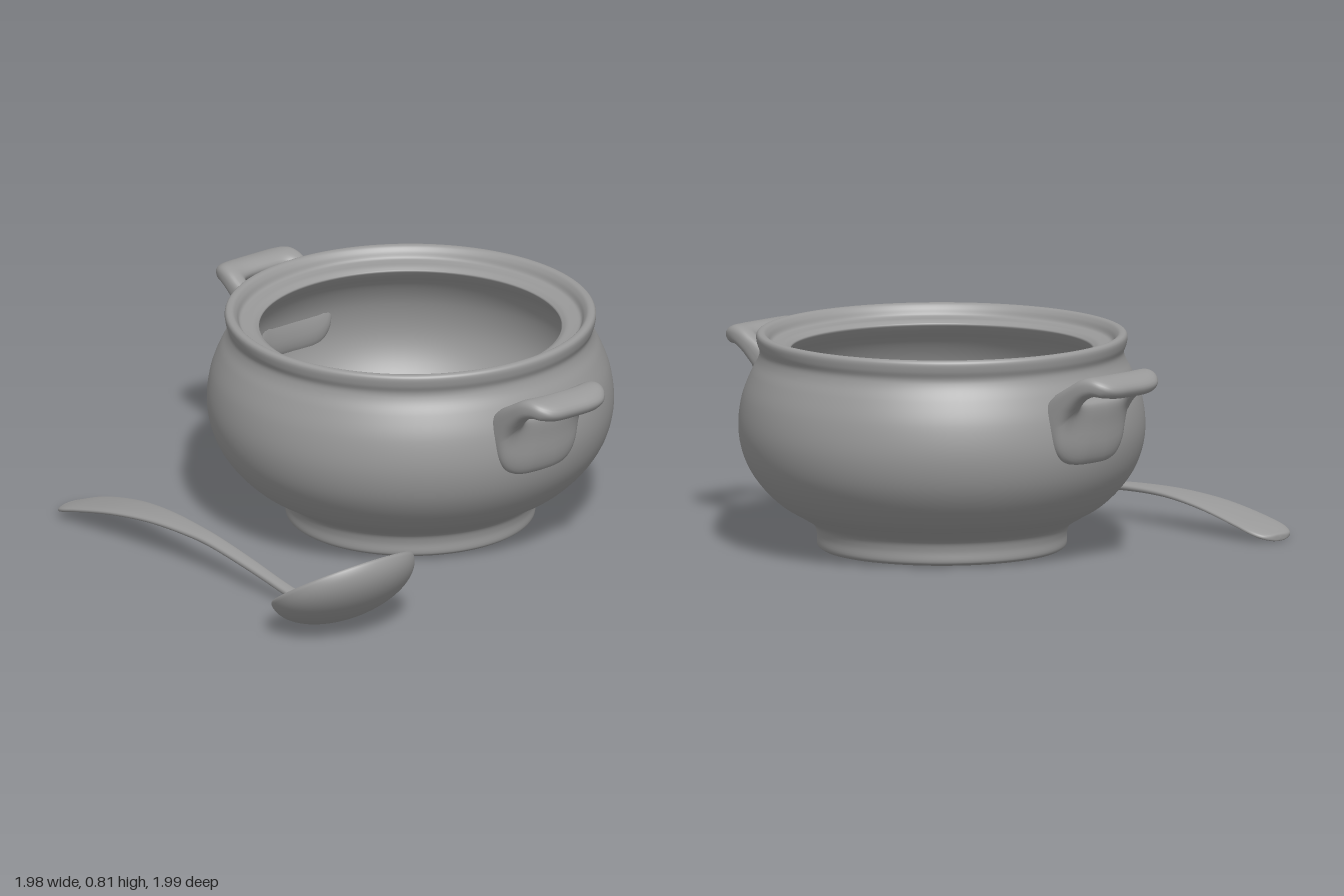
import * as THREE from 'three';
import { mergeVertices } from 'three/addons/utils/BufferGeometryUtils.js';
import { ParametricGeometry } from 'three/addons/geometries/ParametricGeometry.js';

const stoneware = new THREE.MeshStandardMaterial({ color: 0x999999 });
stoneware.name = 'grey stoneware';

function mesh(name, geometry) {
  const m = new THREE.Mesh(geometry, stoneware);
  m.name = name;
  return m;
}

// Surface from a rule, welded at its seams so that it shades smoothly
function surface(rule, slices, stacks) {
  const g = new ParametricGeometry(rule, slices, stacks);
  g.deleteAttribute('uv');
  g.deleteAttribute('normal');
  const welded = mergeVertices(g, 1e-5);
  welded.computeVertexNormals();
  return welded;
}

const spline = (pts) => new THREE.CatmullRomCurve3(
  pts.map(([x, y, z = 0]) => new THREE.Vector3(x, y, z)), false, 'centripetal');
const power = (v, e) => Math.sign(v) * Math.abs(v) ** e;

// Pot: foot, round belly, flared rim, lid seat and hollow inside
function potBody() {
  const foot = [[0, 0.02], [0.2, 0.02], [0.4, 0.02], [0.425, 0.004], [0.44, 0]];
  const outside = spline([
    [0.45, 0], [0.465, 0.012], [0.467, 0.055], [0.479, 0.09], [0.53, 0.125], [0.605, 0.17],
    [0.685, 0.25], [0.737, 0.34], [0.76, 0.45], [0.747, 0.57], [0.713, 0.66], [0.687, 0.71],
    [0.68, 0.74], [0.69, 0.77], [0.693, 0.8], [0.685, 0.811], [0.665, 0.811], [0.65, 0.795],
    [0.637, 0.77], [0.615, 0.765], [0.585, 0.762], [0.565, 0.75]]);
  const inside = spline([
    [0.565, 0.745], [0.585, 0.72], [0.64, 0.66], [0.685, 0.57], [0.7, 0.45], [0.67, 0.34],
    [0.59, 0.23], [0.46, 0.15], [0.25, 0.11], [0, 0.1]]);
  const profile = [
    ...foot.map(([x, y]) => new THREE.Vector2(x, y)),
    ...[...outside.getPoints(105), ...inside.getPoints(45)]
      .map((p) => new THREE.Vector2(Math.max(p.x, 0), p.y))];
  return new THREE.LatheGeometry(profile, 96);
}

// Handle: a strap with an opening, bent along a curve that rises and curls outward
function handleGeometry() {
  const path = spline([
    [0.757, 0.4], [0.765, 0.48], [0.772, 0.56], [0.795, 0.63], [0.845, 0.695],
    [0.905, 0.719], [0.955, 0.705], [0.982, 0.685]]);
  const length = path.getLength();
  const holeLow = 0.53 * length, holeHigh = 0.71 * length;
  return surface((u, v, target) => {
    const a = u * Math.PI * 2, b = -v * Math.PI * 2;
    const c = power(Math.cos(a), 0.5), s = power(Math.sin(a), 0.5);
    const mix = 0.5 + 0.5 * power(Math.cos(b), 0.8);
    const z = c * THREE.MathUtils.lerp(0.115, 0.187, mix);
    const along = THREE.MathUtils.lerp(
      (holeLow + holeHigh) / 2 + s * (holeHigh - holeLow) / 2,
      length / 2 + s * length / 2, mix);
    const t = THREE.MathUtils.clamp(along / length, 0, 1);
    const p = path.getPointAt(t), d = path.getTangentAt(t);
    // the lower part thickens toward the pot and follows its round wall
    const wall = 1 - THREE.MathUtils.smoothstep(t, 0.4, 0.7);
    const h = power(Math.sin(b), 0.8) * (Math.sin(b) > 0 ? 0.037 : 0.037 + 0.045 * wall);
    target.set(p.x + d.y * h - 0.9 * z * z * wall, p.y - d.x * h, z);
  }, 96, 32);
}

// Ladle bowl: half an ellipsoid with a thin wall and a rounded lip
function ladleBowl() {
  const pts = [];
  const n = 28;
  for (let i = 0; i <= n; i++) {
    const a = (i / n) * Math.PI / 2;
    pts.push(new THREE.Vector2(Math.sin(a), -Math.cos(a)));
  }
  pts.push(new THREE.Vector2(0.985, 0.05), new THREE.Vector2(0.945, 0.05));
  for (let i = n; i >= 0; i--) {
    const a = (i / n) * Math.PI / 2;
    pts.push(new THREE.Vector2(0.92 * Math.sin(a), -0.86 * Math.cos(a)));
  }
  const g = new THREE.LatheGeometry(pts, 72);
  g.scale(0.265, 0.149, 0.29);
  g.rotateZ(0.57);
  g.translate(0.75, 0.19, 0.702);
  return g;
}

// Ladle handle: arched, broad and round at the tip, spreading where it meets the bowl
function ladleHandle() {
  // x, height and half-width
  const line = spline([
    [-0.84, 0.012, 0], [-0.835, 0.014, 0.045], [-0.815, 0.02, 0.08], [-0.775, 0.034, 0.1],
    [-0.7, 0.056, 0.102], [-0.5, 0.1, 0.087], [-0.3, 0.122, 0.063], [-0.1, 0.123, 0.043],
    [0, 0.117, 0.036], [0.2, 0.09, 0.03], [0.4, 0.056, 0.026], [0.465, 0.046, 0.03],
    [0.505, 0.043, 0.055], [0.53, 0.045, 0.085], [0.545, 0.05, 0.11]]);
  return surface((u, v, target) => {
    const p = line.getPoint(u), a = v * Math.PI * 2;
    const thick = 0.015 * Math.min(1, Math.sqrt(u * 12));
    const z = THREE.MathUtils.lerp(0.714, 0.705, u);
    target.set(p.x, p.y + thick * power(Math.cos(a), 0.8),
      z - Math.max(p.z, 0) * power(Math.sin(a), 0.8));
  }, 90, 24);
}

export function createModel() {
  const model = new THREE.Group();
  model.name = 'tureen and ladle';

  const pot = new THREE.Group();
  pot.name = 'tureen';
  pot.position.z = -0.24;
  pot.add(mesh('potBody', potBody()));
  const handle = handleGeometry();
  const left = mesh('leftHandle', handle);
  const right = mesh('rightHandle', handle);
  right.rotation.y = Math.PI;
  pot.add(left, right);

  const ladle = new THREE.Group();
  ladle.name = 'ladle';
  ladle.add(mesh('ladleBowl', ladleBowl()), mesh('ladleHandle', ladleHandle()));

  model.add(pot, ladle);
  return model;
}
